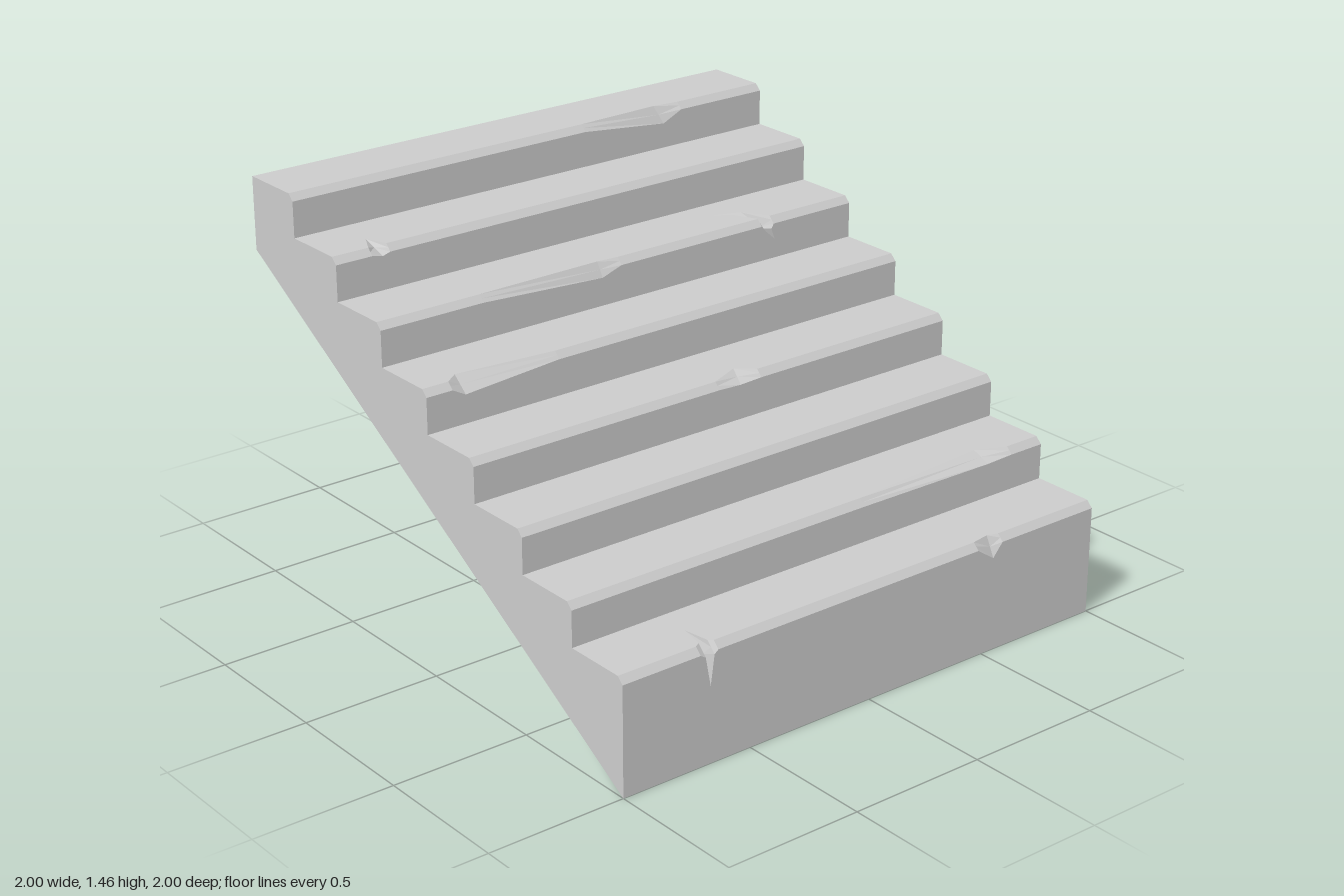
import * as THREE from 'three';

const STEPS = 8, RUN = 0.25, RISE = 0.15, FIRST = 0.41, BEVEL = 0.023;
const material = new THREE.MeshStandardMaterial({ color: 0xcccccc, flatShading: true });

// A station on a step's nose: t = [x, depth] on the tread, r = [x, drop] on the riser,
// m = [x, depth, drop] on the broken face between them.
function station(t, r, m) {
  return { t, r, m: m || [(t[0] + r[0]) / 2, t[1] / 2, r[1] / 2] };
}
const plain = (x) => station([x, BEVEL], [x, BEVEL]);

// Wide chip: sound edge, one deepest station, sound edge
const chip = (x0, xt, depth, xr, drop, x1) =>
  [plain(x0), station([xt, depth], [xr, drop]), plain(x1)];

// Narrow crack running back over the tread and down the riser
const crack = (x0, x, x1, depth, drop) => [
  plain(x0),
  station([(x0 + x) / 2, 0.035], [(x0 + x) / 2, 0.035]),
  station([x, depth], [x, drop], [x, 0.04, 0.045]),
  station([(x + x1) / 2, 0.035], [(x + x1) / 2, 0.035]),
  plain(x1),
];

// Slanting, kinked crack
const bentCrack = [
  plain(0.59),
  station([0.55, 0.11], [0.61, 0.045], [0.605, 0.04, 0.04]),
  station([0.49, 0.15], [0.65, 0.08], [0.612, 0.045, 0.045]),
  station([0.59, 0.115], [0.635, 0.04], [0.618, 0.04, 0.04]),
  plain(0.645),
];

// Damage on each step, from the bottom, ordered along x
const damage = [
  [...crack(-0.7, -0.66, -0.63, 0.13, 0.14), ...chip(0.47, 0.54, 0.035, 0.54, 0.07, 0.58)],
  chip(0.19, 0.75, 0.07, 0.75, 0.027, 0.86),
  [],
  chip(-0.01, 0.11, 0.075, 0.08, 0.027, 0.17),
  chip(-0.9, -0.85, 0.06, -0.85, 0.05, -0.48),
  [...chip(-0.6, -0.11, 0.03, -0.11, 0.05, -0.03), ...bentCrack],
  chip(-0.86, -0.82, 0.1, -0.82, 0.032, -0.79),
  chip(0.2, 0.53, 0.035, 0.55, 0.06, 0.63),
];

// Adds a flat polygon, given in 2D and placed by a function, facing the given normal
function addPolygon(out, outline, place, normal) {
  const flat = outline.map(([a, b]) => new THREE.Vector2(a, b));
  for (const face of THREE.ShapeUtils.triangulateShape(flat, [])) {
    const p = face.map((k) => place(flat[k].x, flat[k].y));
    const n = new THREE.Vector3().crossVectors(p[1].clone().sub(p[0]), p[2].clone().sub(p[0]));
    if (n.dot(normal) < 0) p.reverse();
    out.push(...p);
  }
}

function makeMesh(points, name) {
  const geometry = new THREE.BufferGeometry().setFromPoints(points);
  geometry.computeVertexNormals();
  const mesh = new THREE.Mesh(geometry, material);
  mesh.name = name;
  return mesh;
}

function makeStep(i) {
  const y = FIRST + i * RISE, z = 1 - i * RUN;
  const row = [plain(-1), ...damage[i], plain(1)];
  const height = i === 0 ? FIRST : RISE;
  const at = (x, depth, drop) => new THREE.Vector3(x, y - drop, z - depth);
  const points = [];

  // Tread and riser, each cut out along the worn nose
  addPolygon(points, [...row.map((s) => s.t), [1, RUN], [-1, RUN]],
    (x, d) => at(x, d, 0), new THREE.Vector3(0, 1, 0));
  addPolygon(points, [...row.map((s) => s.r), [1, height], [-1, height]],
    (x, h) => at(x, 0, h), new THREE.Vector3(0, 0, 1));

  // Bevelled nose with its broken faces
  for (let j = 0; j < row.length - 1; j++) {
    const [a, b] = [row[j], row[j + 1]].map((s) =>
      [at(s.t[0], s.t[1], 0), at(...s.m), at(s.r[0], 0, s.r[1])]);
    for (let k = 0; k < 2; k++) {
      points.push(a[k], a[k + 1], b[k + 1], a[k], b[k + 1], b[k]);
    }
  }
  return makeMesh(points, `step${i + 1}`);
}

// Stepped side walls, sloping underside and back wall
function makeBody() {
  const top = FIRST + (STEPS - 1) * RISE, backFoot = 1.2;
  const profile = [[1, 0]];
  for (let i = 0; i < STEPS; i++) {
    const y = FIRST + i * RISE, z = 1 - i * RUN;
    profile.push([z, y - BEVEL], [z - BEVEL, y], [z - RUN, y]);
  }
  profile.push([-1, backFoot]);

  const points = [];
  for (const side of [-1, 1]) {
    addPolygon(points, profile, (z, y) => new THREE.Vector3(side, y, z),
      new THREE.Vector3(side, 0, 0));
  }
  addPolygon(points, [[-1, -1], [1, -1], [1, 1], [-1, 1]],
    (x, z) => new THREE.Vector3(x, backFoot * (1 - z) / 2, z), new THREE.Vector3(0, -1, 0));
  addPolygon(points, [[-1, backFoot], [1, backFoot], [1, top], [-1, top]],
    (x, y) => new THREE.Vector3(x, y, -1), new THREE.Vector3(0, 0, -1));
  return makeMesh(points, 'sidesAndUnderside');
}

export function createModel() {
  const stairs = new THREE.Group();
  stairs.name = 'stoneStairs';
  stairs.add(makeBody());
  for (let i = 0; i < STEPS; i++) stairs.add(makeStep(i));
  return stairs;
}
